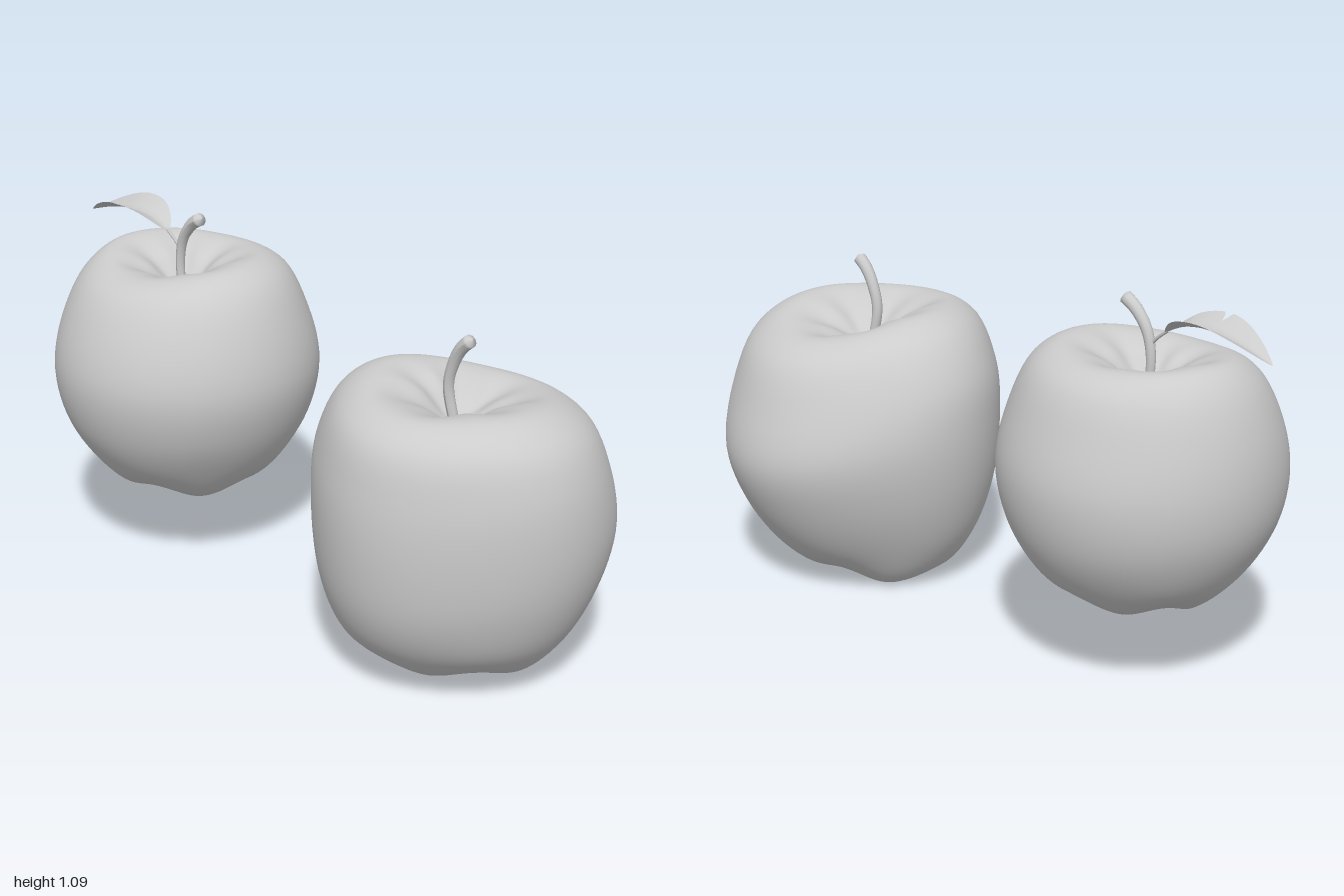
import * as THREE from 'three';

const grey = new THREE.MeshStandardMaterial({ color: 0xcccccc });
const thin = new THREE.MeshStandardMaterial({ color: 0xcccccc, side: THREE.DoubleSide });
const V = (x, y, z) => new THREE.Vector3(x, y, z);

function addMesh(parent, name, geometry, material = grey) {
  const mesh = new THREE.Mesh(geometry, material);
  mesh.name = name;
  parent.add(mesh);
  return mesh;
}

function gridGeometry(points, rows, cols, wrap) {
  const index = [];
  for (let j = 0; j < rows - 1; j++) {
    for (let i = 0; i < (wrap ? cols : cols - 1); i++) {
      const a = j * cols + i, b = j * cols + (i + 1) % cols;
      index.push(a, b, a + cols, b, b + cols, a + cols);
    }
  }
  const g = new THREE.BufferGeometry().setFromPoints(points);
  g.setIndex(index);
  g.computeVertexNormals();
  return g;
}

// Fruit skin: four side profiles (+x, -x, +z, -z; [r, y] from rim to base) blended around the axis
function fruitGeometry({ profiles, topY, baseY, diamond, lobePhase }) {
  const cols = 100, rows = 72, points = [];
  const full = profiles.map(p => {
    const [rimR, rimY] = p[0], [baseR, lowY] = p[p.length - 1];
    return [
      [0, topY], [0.035, topY + 0.012],
      [rimR * 0.5, topY + (rimY - topY) * 0.68], ...p,
      [baseR * 0.5, lowY + (baseY - lowY) * 0.45], [0, baseY],
    ];
  });
  const last = full[0].length - 1;
  const blend = (j, k, t) => {
    const [a, b, c, d] = full.map(p => p[j][k]);
    return (a + b + c + d) / 4 + (a - b) / 2 * Math.cos(t)
      + (c - d) / 2 * Math.sin(t) + (a + b - c - d) / 4 * Math.cos(2 * t);
  };
  const curves = [];
  for (let i = 0; i < cols; i++) {
    const t = i / cols * Math.PI * 2;
    const pts = full[0].map((_, j) => {
      let r = blend(j, 0, t), y = blend(j, 1, t);
      r *= 1 - diamond * (1 - Math.cos(4 * t)) / 2;
      // knobbly base and soft folds in both hollows
      if (j === last - 2 || j === last - 3) y += 0.01 * Math.cos(5 * t + lobePhase);
      if (j === last - 1) y += 0.008 * Math.cos(10 * t);
      if (j === 2) y += 0.006 * Math.cos(7 * t + 1);
      return V(r * Math.cos(t), y, r * Math.sin(t));
    });
    curves.push(new THREE.CatmullRomCurve3(pts, false, 'centripetal'));
  }
  for (let j = 0; j < rows; j++)
    for (const c of curves) points.push(c.getPoint(j / (rows - 1)));
  return gridGeometry(points, rows, cols, true);
}

// Stem: tube that flares toward its closed tip
function stemGeometry(path, r0, r1) {
  const n = 28, sides = 10, curve = new THREE.CatmullRomCurve3(path);
  const g = new THREE.TubeGeometry(curve, n, 1, sides, false);
  const pos = g.attributes.position, p = V();
  for (let k = 0; k < pos.count; k++) {
    const i = Math.floor(k / (sides + 1)), c = curve.getPointAt(i / n);
    const r = i === n ? 0 : r0 + (r1 - r0) * (i / n) ** 2;
    p.fromBufferAttribute(pos, k).sub(c).multiplyScalar(r).add(c);
    pos.setXYZ(k, p.x, p.y, p.z);
  }
  g.computeVertexNormals();
  return g;
}

// Leaf: folded blade along an arched midrib, with a small nick in one edge
function leafGeometry() {
  const rib = new THREE.CatmullRomCurve3([
    V(-0.63, 1.005, 0.012), V(-0.7, 1.035, 0.012), V(-0.8, 1.042, 0.012),
    V(-0.9, 1.025, 0.007), V(-1, 0.995, 0)]);
  const rows = 61, cols = 9, points = [];
  for (let j = 0; j < rows; j++) {
    const t = j / (rows - 1), c = rib.getPoint(t);
    const half = 0.075 * Math.sin(Math.PI * t ** 0.92) ** 0.85;
    for (let i = 0; i < cols; i++) {
      const s = i / (cols - 1) * 2 - 1;
      const nick = s > 0 ? Math.max(0, 1 - Math.abs(t - 0.47) / 0.025) * 0.5 : 0;
      const w = s * half * (1 - nick);
      points.push(V(c.x, c.y + Math.abs(w) ** 1.2 * 0.75, c.z + w));
    }
  }
  return gridGeometry(points, rows, cols, false);
}

export function createModel() {
  const model = new THREE.Group();
  model.name = 'twoApples';

  // Smaller apple with a leaf
  const small = new THREE.Group();
  small.name = 'smallApple';
  model.add(small);
  addMesh(small, 'smallAppleBody', fruitGeometry({
    topY: 0.83, baseY: 0.33, diamond: 0, lobePhase: 0.4,
    profiles: [
      [[0.24, 0.96], [0.325, 0.915], [0.395, 0.78], [0.425, 0.62], [0.395, 0.48], [0.325, 0.35], [0.245, 0.262], [0.2, 0.238]],
      [[0.245, 0.955], [0.315, 0.9], [0.375, 0.75], [0.39, 0.6], [0.365, 0.47], [0.285, 0.33], [0.2, 0.258], [0.16, 0.24]],
      [[0.2, 0.925], [0.29, 0.89], [0.37, 0.77], [0.41, 0.62], [0.38, 0.46], [0.3, 0.33], [0.22, 0.262], [0.17, 0.248]],
      [[0.22, 0.945], [0.3, 0.905], [0.365, 0.77], [0.4, 0.62], [0.375, 0.46], [0.3, 0.33], [0.22, 0.262], [0.17, 0.248]],
    ],
  })).position.set(-0.575, 0, 0.01);
  addMesh(small, 'smallAppleStem', stemGeometry([
    V(-0.575, 0.81, 0.012), V(-0.582, 0.93, 0.012), V(-0.565, 1, 0.012),
    V(-0.525, 1.052, 0.012), V(-0.478, 1.08, 0.015)], 0.013, 0.021));
  addMesh(small, 'leafStalk', new THREE.TubeGeometry(new THREE.CatmullRomCurve3([
    V(-0.58, 0.96, 0.012), V(-0.605, 0.985, 0.012), V(-0.64, 1.012, 0.012)]), 10, 0.005, 6));
  addMesh(small, 'leaf', leafGeometry(), thin);

  // Larger, more angular apple
  const large = new THREE.Group();
  large.name = 'largeApple';
  model.add(large);
  addMesh(large, 'largeAppleBody', fruitGeometry({
    topY: 0.72, baseY: 0.14, diamond: 0.04, lobePhase: 3.5,
    profiles: [
      [[0.27, 0.832], [0.38, 0.77], [0.435, 0.65], [0.45, 0.47], [0.42, 0.3], [0.35, 0.15], [0.25, 0.058], [0.18, 0.04]],
      [[0.23, 0.853], [0.33, 0.81], [0.41, 0.68], [0.43, 0.53], [0.41, 0.33], [0.35, 0.15], [0.27, 0.035], [0.2, 0.01]],
      [[0.28, 0.832], [0.37, 0.775], [0.415, 0.63], [0.425, 0.45], [0.4, 0.27], [0.34, 0.15], [0.23, 0.06], [0.17, 0.045]],
      [[0.25, 0.79], [0.35, 0.735], [0.42, 0.6], [0.465, 0.43], [0.42, 0.28], [0.32, 0.13], [0.22, 0.055], [0.17, 0.04]],
    ],
  })).position.set(0.55, 0, 0.02);
  addMesh(large, 'largeAppleStem', stemGeometry([
    V(0.545, 0.7, 0.025), V(0.525, 0.83, 0.036), V(0.542, 0.9, 0.036),
    V(0.57, 0.95, 0.036), V(0.608, 0.985, 0.036)], 0.015, 0.02));

  return model;
}
